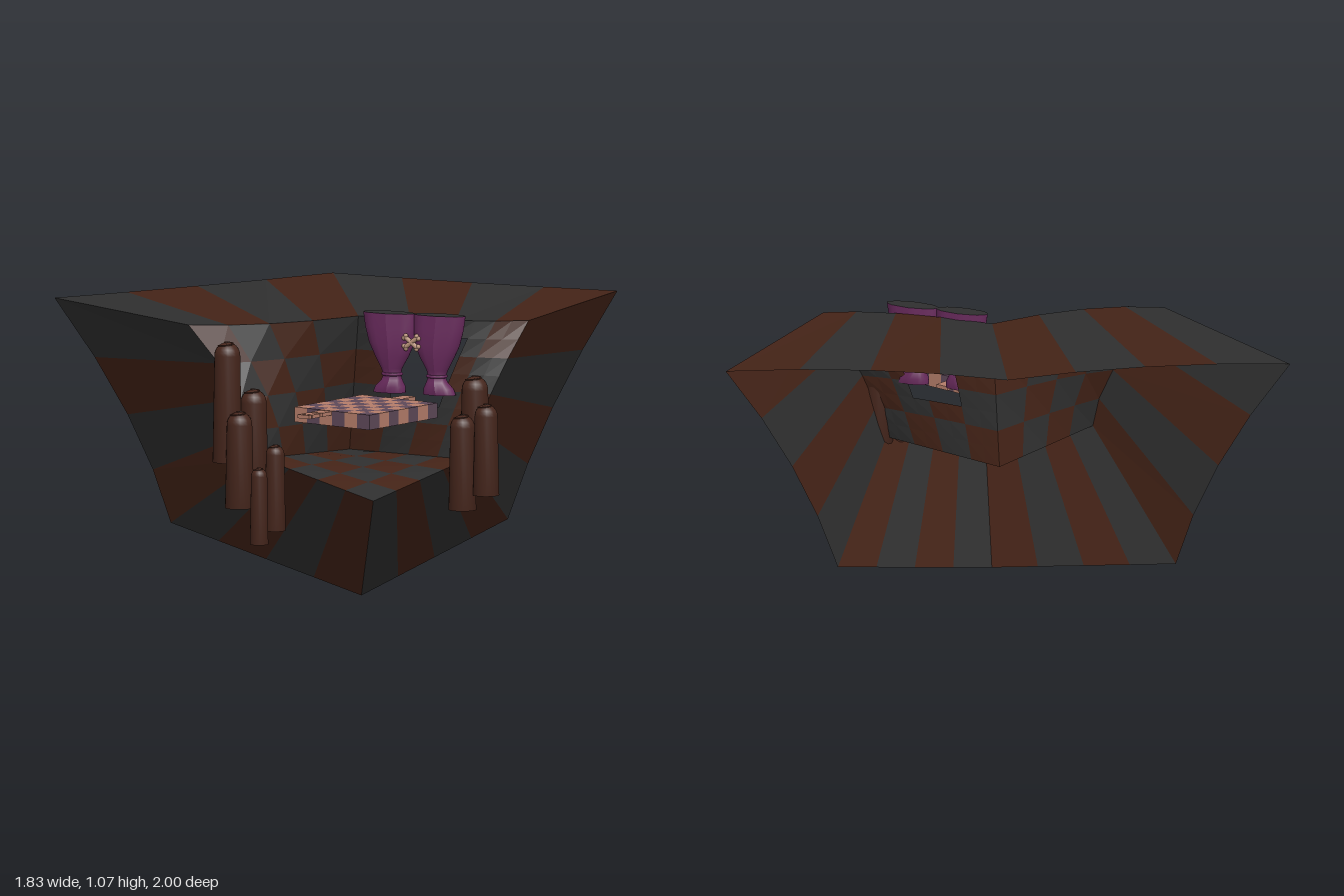
import * as THREE from 'three';

const mat = (color) => new THREE.MeshStandardMaterial({ color, side: THREE.DoubleSide, roughness: 0.9 });
const smooth = { brown: mat(0x46261c), purple: mat(0x682a5c), pink: mat(0xb57d6a), plum: mat(0x5e4858), rope: mat(0xb89078) };
const stripes = [mat(0x2f2f2f), mat(0x442317)]; // grey, brown
stripes.forEach((m) => { m.flatShading = true; });

const V = (x, y, z) => new THREE.Vector3(x, y, z);
// mirror across the diagonal plane of the corner room
const mir = (p) => V(p.z + 0.15, p.y, p.x - 0.15);
const mix = (a, b, t) => a.clone().lerp(b, t);

// five points on a quadratic that passes through mid
function edge(a, b, mid) {
  const m = mid || mix(a, b, 0.5);
  const c = m.clone().multiplyScalar(2).addScaledVector(a, -0.5).addScaledVector(b, -0.5);
  return new THREE.QuadraticBezierCurve3(a, c, b).getPoints(4);
}
const rev = (e) => e.slice().reverse();

// grid of points drawn as two meshes of alternating colour; block = cells per square
function checker(name, rows, first, block = 1, isHole = () => false) {
  const group = new THREE.Group();
  group.name = name;
  const pos = [[], []];
  for (let j = 0; j < rows.length - 1; j++) {
    for (let i = 0; i < rows[j].length - 1; i++) {
      if (isHole(i, j)) continue;
      const a = rows[j][i], b = rows[j][i + 1], c = rows[j + 1][i + 1], d = rows[j + 1][i];
      const k = (Math.floor(i / block) + Math.floor(j / block) + first) % 2;
      for (const p of [a, d, b, b, d, c]) pos[k].push(p.x, p.y, p.z);
    }
  }
  pos.forEach((arr, k) => {
    const g = new THREE.BufferGeometry();
    g.setAttribute('position', new THREE.Float32BufferAttribute(arr, 3));
    g.computeVertexNormals();
    const m = new THREE.Mesh(g, stripes[k]);
    m.name = name + (k ? 'Brown' : 'Grey');
    group.add(m);
  });
  return group;
}

// surface spanned by four boundary edges
function coons(top, bottom, left, right) {
  return left.map((l, j) => top.map((t, i) => {
    const u = i / 4, v = j / 4;
    const p = mix(t, bottom[i], v).add(mix(l, right[j], u));
    return p.sub(mix(mix(top[0], top[4], u), mix(bottom[0], bottom[4], u), v));
  }));
}

// insert midpoints along a list, and in both directions of a grid
const halve = (list, mid) => list.flatMap((p, i) => (i ? [mid(list[i - 1], p), p] : [p]));
const refine = (rows) => halve(rows.map((r) => halve(r, (a, b) => mix(a, b, 0.5))),
  (r, s) => r.map((p, i) => mix(p, s[i], 0.5)));

function buildRoom(root) {
  // outer rim
  const A = V(-0.915, 1.03, 0.455), B = V(-0.33, 1.07, -0.5), C = V(0.64, 1.03, -1);
  const F = V(-0.48, 0.195, 0.3), F2 = V(0.46, 0.195, -0.56), G = V(0.44, 0, 0.31);
  // inner corners: wall tops, floor (the walls lean outward towards the floor)
  const E = V(-0.07, 1.03, 0.715), H = V(0.285, 1.03, 0.13), D = V(0.865, 1.03, -0.17);
  const P = V(0.2, 0.535, 0.615), Q = V(0.74, 0.42, 0.62), R = V(0.74, 0.515, 0.05), S = V(0.18, 0.505, 0.05);

  const mAF = V(-0.64, 0.6, 0.36), mEH = V(0.15, 1.03, 0.5), mEP = V(0.13, 0.76, 0.65);
  const AB = edge(A, B, V(-0.58, 1.055, 0.01)), BC = edge(B, C, V(0.18, 1.055, -0.7));
  const CF = edge(C, F2, V(0.55, 0.61, -0.72)), FG = edge(F2, G), GF = edge(G, F), FA = edge(F, A, mAF);
  const EH = edge(E, H, mEH), HD = edge(H, D, mir(mEH)), DR = edge(D, R, mir(mEP));
  const RQ = edge(R, Q), QP = edge(Q, P), PE = edge(P, E, mEP);
  const PS = edge(P, S), SR = edge(S, R), HS = edge(H, S);

  // flared striped border
  const border = [
    ['borderTopLeft', AB, EH, 0], ['borderTopBack', BC, HD, 0], ['borderRight', CF, DR, 1],
    ['borderBottomRight', FG, RQ, 1], ['borderBottomFront', GF, QP, 1], ['borderLeft', FA, PE, 1],
  ];
  for (const [name, outer, inner, first] of border) root.add(checker(name, [outer, inner], first));

  // two walls and a floor; the back wall has a doorway behind the curtains
  const doorway = (i, j) => i >= 2 && i <= 4 && j >= 1 && j <= 4;
  root.add(checker('leftWall', coons(EH, PS, rev(PE), HS), 1));
  root.add(checker('backWall', refine(coons(HD, SR, HS, DR)), 0, 2, doorway));
  root.add(checker('floor', coons(SR, rev(QP), rev(PS), RQ), 0));
}

function box(parent, name, w, h, d, x, y, z, material) {
  const m = new THREE.Mesh(new THREE.BoxGeometry(w, h, d), material);
  m.position.set(x, y, z);
  m.name = name;
  parent.add(m);
}

// floating checkered platform with small steps
function buildPlatform(root) {
  const g = new THREE.Group();
  g.name = 'platform';
  const sx = 0.06, sz = 0.415 / 7;
  for (let j = 0; j < 7; j++) {
    for (let i = 0; i < 6; i++) {
      box(g, 'platformTile', sx, 0.057, sz, 0.37 + sx * (i + 0.5), 0.719, 0.215 + sz * (j + 0.5),
        (i + j) % 2 ? smooth.plum : smooth.pink);
    }
  }
  box(g, 'backStep', 0.055, 0.015, 0.1, 0.52, 0.737, 0.165, smooth.pink);
  [[0.655, 0.06], [0.722, 0.045], [0.76, 0.015]].forEach(([z, d]) =>
    box(g, 'frontStep', 0.055, 0.014, d, 0.52, 0.738, z, smooth.pink));
  root.add(g);
}

// pair of gathered curtains with ties and a crossed ornament
function buildCurtains(root) {
  const g = new THREE.Group();
  g.name = 'curtains';
  // height, inner edge, outer edge, half depth
  const prof = [
    [1.055, -0.002, 0.206, 0.04], [1.0, -0.002, 0.198, 0.042], [0.94, 0.001, 0.182, 0.043], [0.89, 0.024, 0.158, 0.038],
    [0.845, 0.05, 0.134, 0.03], [0.82, 0.056, 0.124, 0.024], [0.8, 0.05, 0.132, 0.032], [0.775, 0.038, 0.156, 0.04],
    [0.752, 0.036, 0.166, 0.036],
  ];
  const n = 24, last = prof.length - 1;
  for (const side of [-1, 1]) {
    const geo = new THREE.CylinderGeometry(1, 1, 1, n, last, false);
    const p = geo.attributes.position;
    for (let i = 0; i < p.count; i++) {
      const [y, a, b, d] = prof[Math.round((0.5 - p.getY(i)) * last)];
      const x = p.getX(i), z = p.getZ(i), r = Math.hypot(x, z);
      const fold = 1 + 0.05 * Math.cos(8 * Math.atan2(z, x)) * r;
      p.setXYZ(i, side * ((a + b) / 2) + x * (b - a) / 2, y, z * d * fold);
    }
    geo.computeVertexNormals();
    const c = new THREE.Mesh(geo, [smooth.purple, stripes[0], smooth.purple]);
    c.name = side > 0 ? 'leftCurtain' : 'rightCurtain';
    const tie = new THREE.Mesh(new THREE.TorusGeometry(0.034, 0.006, 8, 20), smooth.purple);
    tie.rotation.x = Math.PI / 2;
    tie.scale.set(1.05, 0.85, 1);
    tie.position.set(side * 0.09, 0.822, 0);
    tie.name = 'curtainTie';
    g.add(c, tie);
  }
  // crossed bars with knobbed ends
  for (const s of [-1, 1]) {
    const bar = new THREE.Group();
    bar.name = 'crossOrnament';
    bar.add(new THREE.Mesh(new THREE.CapsuleGeometry(0.009, 0.055, 4, 10), smooth.rope));
    for (const [kx, ky] of [[-1, -1], [-1, 1], [1, -1], [1, 1]]) {
      const knob = new THREE.Mesh(new THREE.SphereGeometry(0.009, 10, 8), smooth.rope);
      knob.position.set(kx * 0.006, ky * 0.032, 0);
      bar.add(knob);
    }
    bar.position.set(0, 0.95, 0.035);
    bar.rotation.z = s * 0.9;
    g.add(bar);
  }
  g.position.set(0.522, 0, 0.09);
  g.rotation.y = 0.3;
  root.add(g);
}

// round-topped posts with a swirl on the crown: x, z, bottom, top, radius
function buildPosts(root) {
  const posts = [
    [0.78, 0.05, 0.48, 0.835, 0.057], [0.865, 0.09, 0.395, 0.74, 0.05], [0.775, 0.12, 0.335, 0.695, 0.053],
    [0.21, 0.675, 0.45, 0.805, 0.056], [0.135, 0.74, 0.53, 0.985, 0.056], [0.213, 0.765, 0.365, 0.73, 0.055],
    [0.433, 0.828, 0.305, 0.63, 0.04], [0.462, 0.963, 0.27, 0.56, 0.035],
  ];
  for (const [x, z, y0, y1, r] of posts) {
    const g = new THREE.Group();
    g.name = 'post';
    const h = y1 - y0, rt = r * 0.88, pts = [new THREE.Vector2(0, 0), new THREE.Vector2(r, 0)];
    for (let i = 0; i <= 6; i++) {
      const t = (i / 6) * Math.PI / 2;
      pts.push(new THREE.Vector2(rt * Math.cos(t), h - rt * (1 - Math.sin(t))));
    }
    const body = new THREE.Mesh(new THREE.LatheGeometry(pts, 18), smooth.brown);
    body.name = 'postBody';
    const spiral = [];
    for (let i = 0; i <= 24; i++) {
      const t = i / 24, q = rt * 0.85 * t, a = t * Math.PI * 3.5;
      spiral.push(V(q * Math.cos(a), h - rt * (1 - Math.sqrt(1 - (q / rt) ** 2)), q * Math.sin(a)));
    }
    const swirl = new THREE.Mesh(
      new THREE.TubeGeometry(new THREE.CatmullRomCurve3(spiral), 40, r * 0.06, 5), smooth.brown);
    swirl.name = 'postSwirl';
    g.add(body, swirl);
    g.position.set(x, y0, z);
    root.add(g);
  }
}

export function createModel() {
  const root = new THREE.Group();
  root.name = 'cornerRoom';
  buildRoom(root);
  buildPlatform(root);
  buildCurtains(root);
  buildPosts(root);
  return root;
}
